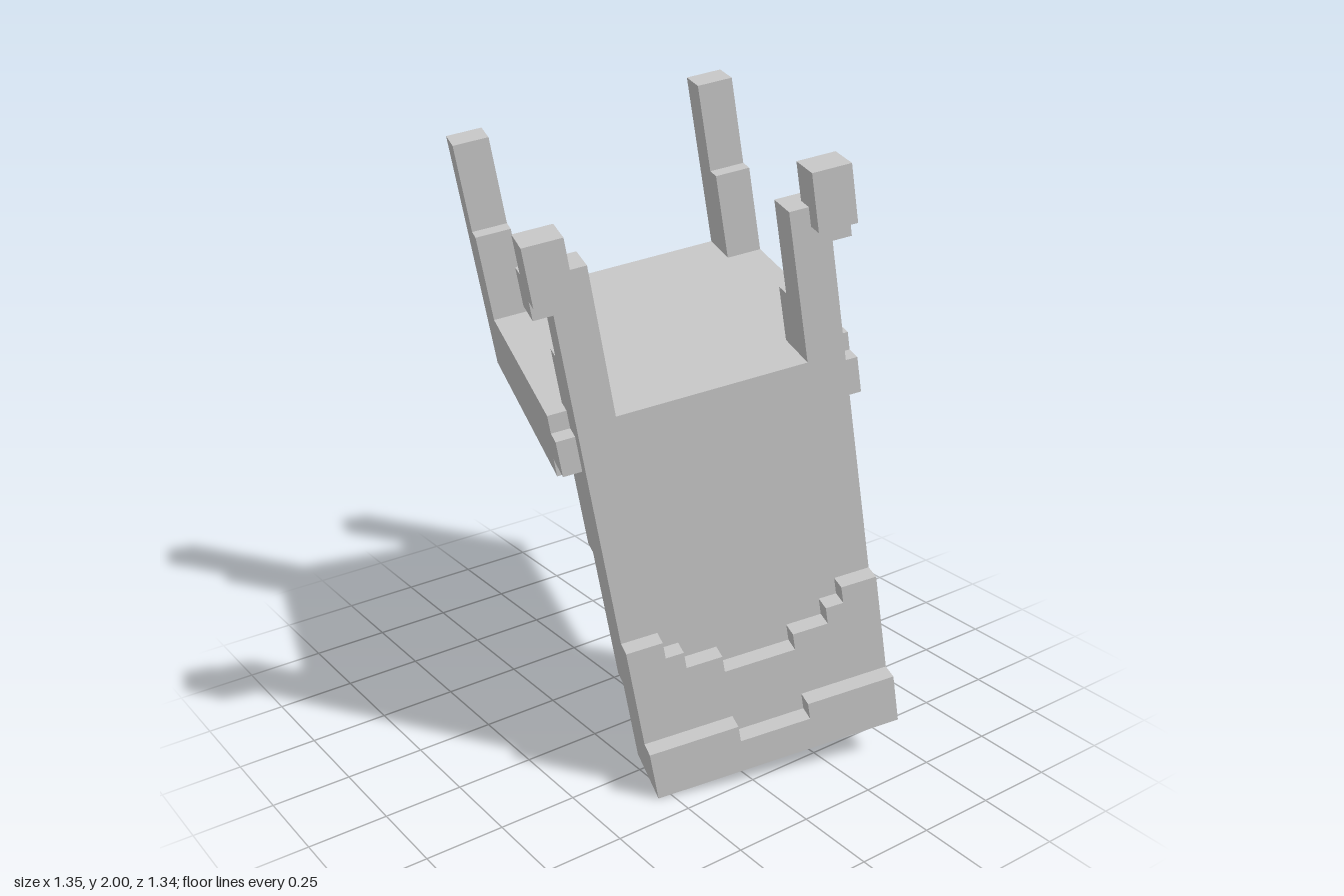
import * as THREE from 'three';

const mat = new THREE.MeshStandardMaterial({ color: 0xcccccc, flatShading: true, side: THREE.DoubleSide });

// Box given by its limits in grid units
function box(parent, name, [x0, x1], [y0, y1], [z0, z1]) {
  const m = new THREE.Mesh(new THREE.BoxGeometry(x1 - x0, y1 - y0, z1 - z0), mat);
  m.position.set((x0 + x1) / 2, (y0 + y1) / 2, (z0 + z1) / 2);
  m.name = name;
  parent.add(m);
}

// Upright slab, x0..x1 thick, between a flat edge and a stepped edge.
// steps: [zEnd, height] from the back (z = -14) to the front (z = 0)
function steppedSlab(parent, name, [x0, x1], flatEdge, steps) {
  const shape = new THREE.Shape();
  shape.moveTo(-14, flatEdge);
  let z = -14;
  for (const [zEnd, y] of steps) {
    shape.lineTo(z, y);
    shape.lineTo(zEnd, y);
    z = zEnd;
  }
  shape.lineTo(0, flatEdge);
  const geo = new THREE.ExtrudeGeometry(shape, { depth: x1 - x0, bevelEnabled: false });
  geo.rotateY(-Math.PI / 2);
  const m = new THREE.Mesh(geo, mat);
  m.position.x = x1;
  m.name = name;
  parent.add(m);
}

export function createModel() {
  const model = new THREE.Group();
  const chair = new THREE.Group();
  chair.name = 'upturnedChair';
  model.add(chair);

  // Backrest: a core with stepped layers that make it lean
  const backrest = new THREE.Group();
  backrest.name = 'backrest';
  chair.add(backrest);
  box(backrest, 'backrestCore', [-4, -2], [0, 22], [-14, 0]);
  steppedSlab(backrest, 'outerLowerLayer', [-1, 0], 0, [[-9, 3], [-5, 2], [0, 3]]);
  steppedSlab(backrest, 'outerMiddleLayer', [-2, -1], 0,
    [[-12, 9], [-11, 8], [-9, 7], [-5, 6], [-3, 7], [-2, 8], [0, 9]]);
  steppedSlab(backrest, 'innerMiddleLayer', [-5, -4], 20,
    [[-13, 5], [-12, 3], [-2, 2], [-1, 3], [0, 5]]);
  steppedSlab(backrest, 'innerUpperLayer', [-6, -5], 20,
    [[-13, 13], [-12, 9], [-11, 7], [-3, 6], [-2, 7], [-1, 9], [0, 13]]);

  // Seat with a stepped bulge underneath
  const seat = new THREE.Group();
  seat.name = 'seat';
  chair.add(seat);
  box(seat, 'seatSlab', [-20, -4], [19, 22], [-15, 1]);
  box(seat, 'seatRim', [-20, -5], [18, 19], [-15, 1]);
  box(seat, 'seatUnderLayer', [-19, -5], [17, 18], [-13, -1]);
  box(seat, 'seatUnderCorner', [-19, -15], [17, 18], [-14, 0]);
  [[-18, 4], [-16, 3], [-14, 2]].forEach(([x, inset]) =>
    box(seat, 'seatBulge', [x, x === -14 ? -10 : -6], [16, 17], [inset - 14 - 0, -inset]));

  // Legs and joints, mirrored about the middle of the seat (z = -7)
  for (const side of ['front', 'back']) {
    const span = (a, b) => (side === 'front' ? [a, b] : [-14 - b, -14 - a]);
    box(seat, side + 'SeatJoint', [-4, -3], [19, 21], span(0, 1));

    const far = new THREE.Group();
    far.name = side + 'StraightLeg';
    chair.add(far);
    box(far, 'post', [-20, -18], [22, 32], span(-1, 1));
    box(far, 'brace', [-18, -17], [22, 27], span(-1, 1));

    const near = new THREE.Group();
    near.name = side + 'SteppedLeg';
    chair.add(near);
    box(near, 'post', [-4, -2], [22, 30], span(-2, 0));
    box(near, 'brace', [-5, -4], [22, 25], span(-2, 0));
    box(near, 'ankle', [-4, -2], [28, 30], span(-1, 1));
    box(near, 'foot', [-3, -1], [29, 32], span(-1, 1));
  }

  // Tilted pose, resting on one corner of the backrest
  chair.scale.setScalar(0.0565);
  chair.rotation.set(0.192, -0.345, 0);
  chair.position.set(0.395, 0, 0.287);
  model.updateMatrixWorld(true);
  const b = new THREE.Box3().setFromObject(model, true);
  const c = b.getCenter(new THREE.Vector3());
  chair.position.x -= c.x;
  chair.position.z -= c.z;
  chair.position.y -= b.min.y;
  return model;
}
